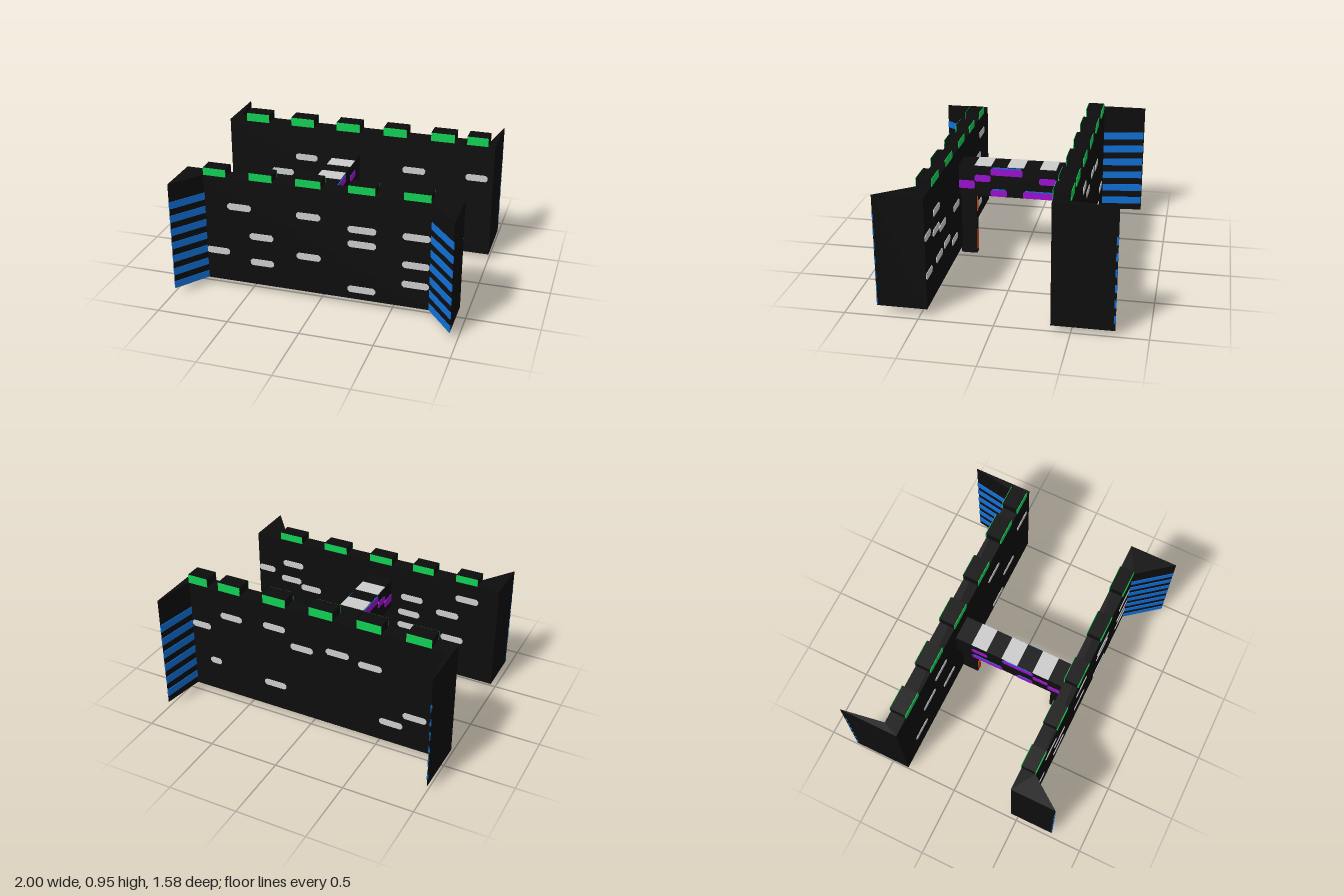
import * as THREE from 'three';

const mat = (name, color) => {
  const m = new THREE.MeshStandardMaterial({ color });
  m.name = name;
  return m;
};

export function createModel() {
  const black = mat('black', 0x0d0d0d);
  const pale = mat('pale grey', 0xcccccc);
  const green = mat('green', 0x10d054);
  const blue = mat('blue', 0x1070d8);
  const purple = mat('purple', 0x9c10d2);
  const orange = mat('orange', 0xe04c10);
  const model = new THREE.Group();
  model.name = 'castleWalls';
  const T = 0.008; // thickness of painted plates

  const add = (name, geometry, material, parent = model) => {
    const mesh = new THREE.Mesh(geometry, material);
    mesh.name = name;
    parent.add(mesh);
    return mesh;
  };

  // Box given by its lower and upper limits on each axis
  const box = (name, material, x0, x1, y0, y1, z0, z1, parent) => {
    const g = new THREE.BoxGeometry(x1 - x0, y1 - y0, z1 - z0);
    g.translate((x0 + x1) / 2, (y0 + y1) / 2, (z0 + z1) / 2);
    return add(name, g, material, parent);
  };

  // Floor plan of [x, z] points raised from y0 to y1
  const raise = (name, plan, y0, y1, parent) => {
    const shape = new THREE.Shape(plan.map(([x, z]) => new THREE.Vector2(x, -z)));
    const g = new THREE.ExtrudeGeometry(shape, { depth: y1 - y0, bevelEnabled: false });
    g.rotateX(-Math.PI / 2).translate(0, y0, 0);
    return add(name, g, black, parent);
  };

  // Thin brick with clipped corners, centred on the origin
  const brickShape = (w, h, c = 0.014) => {
    const a = w / 2, b = h / 2;
    const pts = [[c - a, -b], [a - c, -b], [a, c - b], [a, b - c], [a - c, b], [c - a, b], [-a, b - c], [-a, c - b]];
    const shape = new THREE.Shape(pts.map(([x, y]) => new THREE.Vector2(x, y)));
    return new THREE.ExtrudeGeometry(shape, { depth: T, bevelEnabled: false }).translate(0, 0, -T / 2);
  };

  // Bricks scattered over a wall face at depth z
  const bricks = (name, list, z, parent) => {
    for (const [x, y, w = 0.17] of list) {
      add(name, brickShape(w, 0.048), pale, parent).position.set(x, y, z);
    }
  };

  // Merlons with a green plate on both faces
  const merlons = (list, y0, y1, z0, z1, parent) => {
    for (const [a, b] of list) {
      box('merlon', black, a, b, y0 - 0.01, y1, z0, z1, parent);
      for (const z of [z0, z1]) {
        box('merlonPlate', green, a, b, y0, y1 - 0.002, z - T / 2, z + T / 2, parent);
      }
    }
  };

  // Horizontal stripes along a slanted wing face from a to b ([x, z])
  const stripes = (a, b, count, y0, step, height, parent) => {
    const dx = b[0] - a[0], dz = b[1] - a[1];
    for (let i = 0; i < count; i++) {
      const m = add('wingStripe', new THREE.BoxGeometry(Math.hypot(dx, dz), height, T), blue, parent);
      m.position.set((a[0] + b[0]) / 2, y0 + i * step + height / 2, (a[1] + b[1]) / 2);
      m.rotation.y = -Math.atan2(dz, dx);
    }
  };

  // Front wall with its two wedge wings
  const front = new THREE.Group();
  front.name = 'frontWall';
  model.add(front);
  raise('wallBody', [[-0.98, 0.45], [-0.98, 0.77], [-0.82, 0.55], [0.76, 0.55], [0.95, 0.79], [0.95, 0.45]], 0.05, 0.833, front);
  merlons([[-0.82, -0.66], [-0.49, -0.33], [-0.165, 0.01], [0.2, 0.38], [0.57, 0.75]], 0.833, 0.887, 0.45, 0.55, front);
  stripes([-0.98, 0.77], [-0.82, 0.55], 7, 0.053, 0.0995, 0.051, front);
  stripes([0.76, 0.55], [0.95, 0.79], 7, 0.053, 0.0995, 0.051, front);
  bricks('frontBrick', [
    [-0.57, 0.622], [-0.078, 0.622], [0.293, 0.573, 0.195], [0.662, 0.573, 0.185],
    [0.293, 0.466, 0.195], [-0.415, 0.418], [0.662, 0.367, 0.185], [-0.078, 0.32],
    [-0.738, 0.273], [-0.415, 0.222], [0.662, 0.222, 0.185], [0.293, 0.125, 0.195],
  ], 0.55, front);
  bricks('innerBrick', [
    [0.88, 0.55, 0.14], [0.67, 0.5], [0.5, 0.46], [0.87, 0.28, 0.15], [0.61, 0.28], [0.4, 0.29],
    [0.18, 0.21], [0.11, 0.44], [-0.31, 0.47], [-0.61, 0.545], [-0.31, 0.36], [-0.46, 0.32],
    [-0.655, 0.35], [-0.2, 0.11], [-0.62, 0.16], [0.65, 0.635], [-0.33, 0.6], [-0.75, 0.7],
  ], 0.45, front);

  // Back wall with its slim wings
  const back = new THREE.Group();
  back.name = 'backWall';
  model.add(back);
  raise('wallBody', [[-1, -0.37], [1, -0.37], [1, -0.785], [0.95, -0.482], [-0.95, -0.482], [-1, -0.79]], 0.042, 0.887, back);
  merlons([[-0.865, -0.69], [-0.515, -0.34], [-0.165, 0.01], [0.19, 0.36], [0.54, 0.71], [0.8, 0.95]], 0.887, 0.95, -0.482, -0.37, back);
  for (const s of [-1, 1]) stripes([s * 0.95, -0.482], [s * 0.998, -0.785], 6, 0.095, 0.108, 0.055, back);
  bricks('backBrick', [
    [0.87, 0.565, 0.15], [0.62, 0.69], [0.28, 0.71], [0.07, 0.6], [-0.2, 0.64],
    [-0.44, 0.61], [0.77, 0.29, 0.09], [0.285, 0.24], [-0.6, 0.2], [-0.77, 0.3],
  ], -0.482, back);
  bricks('innerBrick', [
    [-0.4, 0.645], [-0.59, 0.51], [0.42, 0.64], [0.88, 0.64, 0.16],
    [0.655, 0.31], [0.47, 0.1], [-0.75, 0.27], [-0.32, 0.3],
  ], -0.37, back);

  // Bridge between the walls
  const bridge = new THREE.Group();
  bridge.name = 'bridge';
  model.add(bridge);
  box('bridgeBody', black, -0.165, 0.01, 0.487, 0.713, -0.375, 0.455, bridge);
  for (const [z0, z1] of [[-0.25, -0.135], [-0.02, 0.1], [0.215, 0.335]]) {
    box('topSlab', pale, -0.165, 0.01, 0.709, 0.717, z0, z1, bridge);
  }
  const sideBricks = [
    [0.335, 0.455, 0.568, 0.06], [0.22, 0.335, 0.62, 0.05], [-0.012, 0.22, 0.674, 0.052],
    [-0.25, -0.13, 0.622, 0.048], [0.1, 0.22, 0.513, 0.05], [-0.25, -0.015, 0.513, 0.05],
  ];
  const sideLines = [[0, 0.205, 0.705], [0.115, 0.205, 0.541], [-0.235, -0.03, 0.541]];
  for (const x of [-0.165, 0.01]) {
    for (const [z0, z1, y, h] of sideBricks) {
      const m = add('sideBrick', brickShape(z1 - z0, h, 0.01), purple, bridge);
      m.rotation.y = Math.PI / 2;
      m.position.set(x, y, (z0 + z1) / 2);
    }
    for (const [z0, z1, y] of sideLines) {
      box('sideLine', blue, x - T / 2, x + T / 2, y - 0.004, y + 0.004, z0, z1, bridge);
    }
  }

  // Narrow pillars under the bridge ends, with inner bricks
  for (const [z0, z1, inner] of [[0.34, 0.455, 0.34], [-0.375, -0.255, -0.255]]) {
    box('pillar', black, -0.105, -0.055, 0, 0.49, z0, z1);
    for (const [y0, y1] of [[0.03, 0.18], [0.33, 0.44]]) {
      box('pillarPlate', orange, -0.095, -0.065, y0, y1, inner - T / 2, inner + T / 2);
    }
  }
  return model;
}
